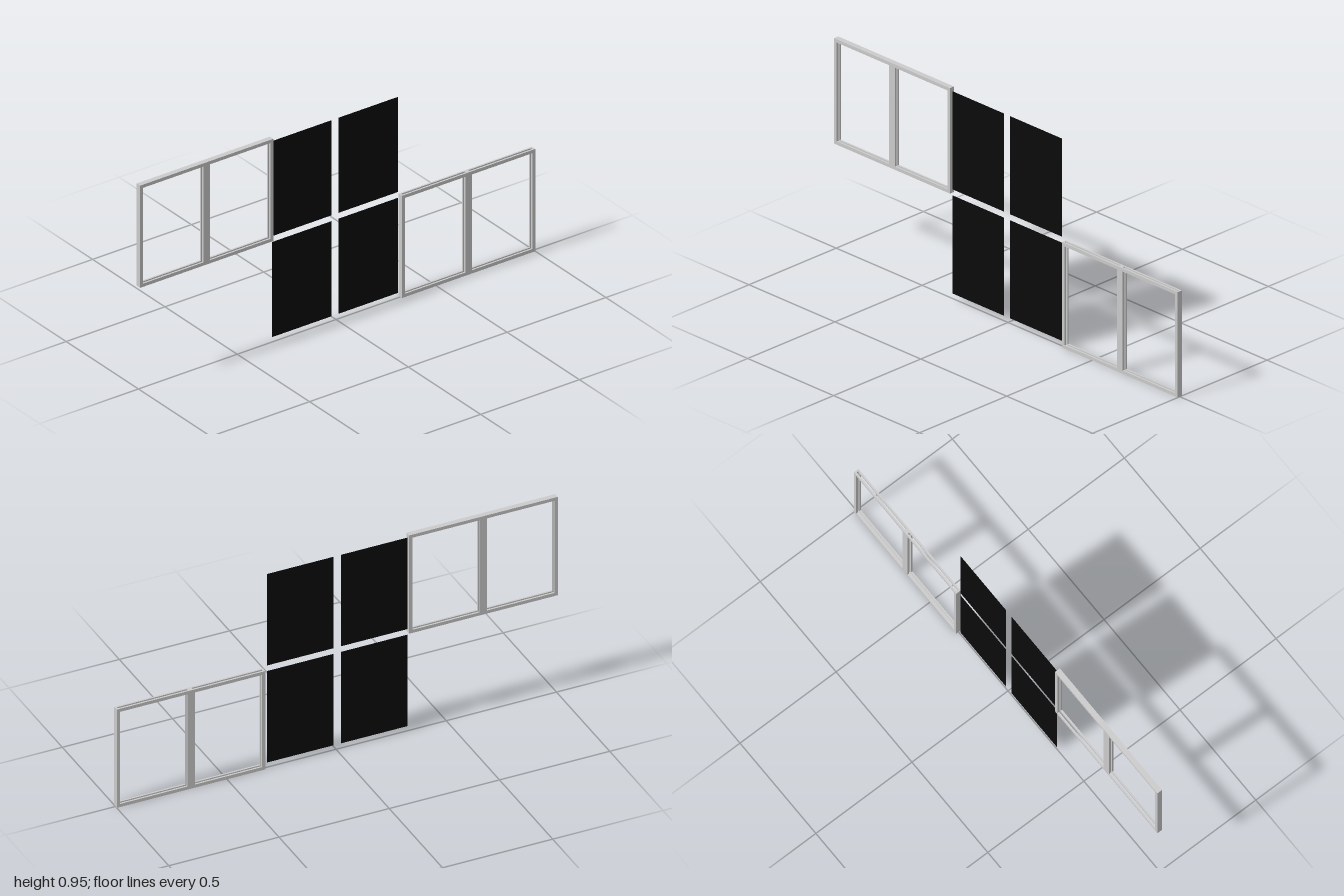
import * as THREE from 'three';

const W = 0.674, H = 0.476;          // frame size
const EDGE = 0.015, MULLION = 0.034; // visible rail widths
const LAYER = 0.008, GROOVE = 0.007; // layer thickness, groove depth

const grey = new THREE.MeshStandardMaterial({ color: 0xcccccc });
const black = new THREE.MeshStandardMaterial({ color: 0x0a0a0a, side: THREE.DoubleSide });

function polygon(points, Type = THREE.Shape) {
  return new Type(points.map(([x, y]) => new THREE.Vector2(x, y)));
}

function rect(x0, y0, x1, y1, Type) {
  return polygon([[x0, y0], [x1, y0], [x1, y1], [x0, y1]], Type);
}

// One layer of a frame, lying in the zy plane and centred on x
function layer(shape, x, name) {
  const geometry = new THREE.ExtrudeGeometry(shape, { depth: LAYER, bevelEnabled: false });
  geometry.translate(0, 0, x - LAYER / 2).rotateY(Math.PI / 2);
  const mesh = new THREE.Mesh(geometry, grey);
  mesh.name = name;
  return mesh;
}

// Two-light frame: two face layers around a core that leaves grooves open at the top
function makeFrame(name) {
  const frame = new THREE.Group();
  frame.name = name;
  const w = W / 2, h = H / 2, m = MULLION / 2;

  const face = rect(-w, -h, w, h);
  face.holes.push(
    rect(-w + EDGE, -h + EDGE, -m, h - EDGE, THREE.Path),
    rect(m, -h + EDGE, w - EDGE, h - EDGE, THREE.Path)
  );
  frame.add(layer(face, -LAYER, 'rightFrameFace'), layer(face, LAYER, 'leftFrameFace'));

  const s = w - EDGE + GROOVE, b = -h + EDGE - GROOVE, c = m - GROOVE;
  const core = polygon([
    [-w, -h], [w, -h], [w, h], [s, h], [s, b], [c, b],
    [c, h], [-c, h], [-c, b], [-s, b], [-s, h], [-w, h]
  ]);
  frame.add(layer(core, 0, 'grooveCore'));
  return frame;
}

export function createModel() {
  const model = new THREE.Group();
  model.name = 'windowKit';

  // Lower frame at the back, upper frame turned over at the front
  const lower = makeFrame('lowerFrame');
  lower.position.set(0, H / 2, -1 + W / 2);
  const upper = makeFrame('upperFrame');
  upper.position.set(0, H * 1.5, 1 - W / 2);
  upper.rotation.x = Math.PI;
  model.add(lower, upper);

  // Four thin dark panes between the frames
  const paneGeometry = new THREE.PlaneGeometry(0.302, 0.443).rotateY(Math.PI / 2);
  for (const y of [0.244, 0.714]) {
    for (const z of [0.173, -0.163]) {
      const pane = new THREE.Mesh(paneGeometry, black);
      pane.name = 'pane';
      pane.position.set(0, y, z);
      model.add(pane);
    }
  }
  return model;
}
